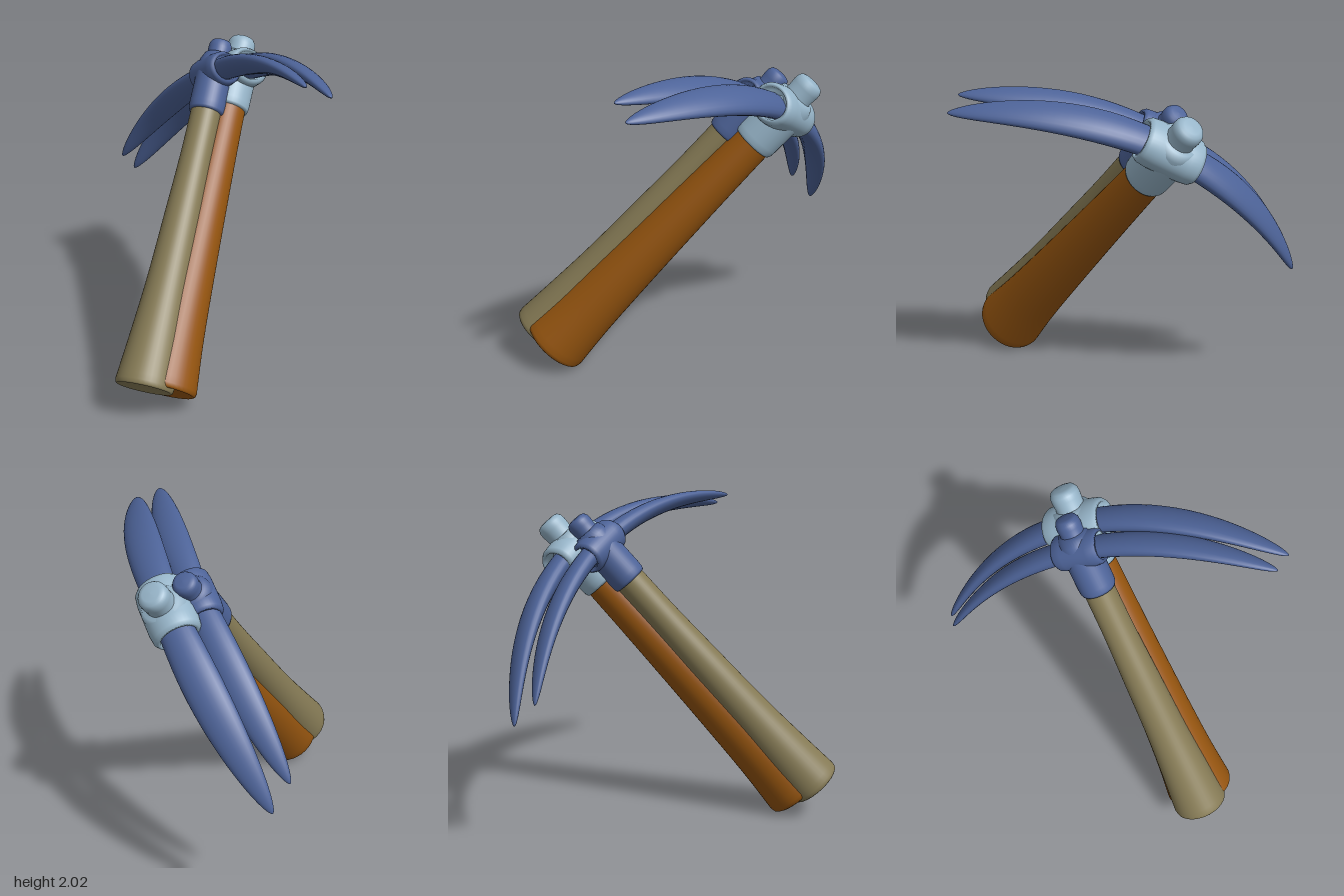
import * as THREE from 'three';

const paint = (name, color) => {
  const m = new THREE.MeshStandardMaterial({ color });
  m.name = name;
  return m;
};

// Smooth double-ended blade: elliptical sections swept along an arch
function bladeGeometry({ reach, apex, drop, width, thick }) {
  const along = 48, around = 24, pos = [], idx = [];
  for (let i = 0; i <= along; i++) {
    const t = reach * Math.sin((i / along - 0.5) * Math.PI);
    const q = Math.abs(t) / reach;
    const y = apex - drop * Math.pow(q, 2.1);
    const slope = -Math.sign(t) * drop * 2.1 * Math.pow(q, 1.1) / reach;
    const len = Math.hypot(1, slope);
    const round = Math.sqrt(Math.max(0, 1 - Math.pow(q, 24)));
    const hw = width * (0.8 + 0.9 * q) * (1 - 0.85 * q * q) * round;
    const ht = thick * (1 - 0.7 * q * q) * round;
    for (let k = 0; k < around; k++) {
      const a = k / around * Math.PI * 2, h = ht * Math.sin(a);
      pos.push(t - slope / len * h, y + h / len, hw * Math.cos(a));
    }
  }
  for (let i = 0; i < along; i++) for (let k = 0; k < around; k++) {
    const a = i * around + k, c = i * around + (k + 1) % around;
    idx.push(a, a + around, c, c, a + around, c + around);
  }
  const g = new THREE.BufferGeometry();
  g.setAttribute('position', new THREE.Float32BufferAttribute(pos, 3));
  g.setIndex(idx);
  g.computeVertexNormals();
  return g;
}

const lathe = (pts) => new THREE.LatheGeometry(pts.map(([r, y]) => new THREE.Vector2(r, y)), 40);

function pickaxe(o) {
  const g = new THREE.Group();
  g.name = o.name;
  const add = (name, geo, mat) => {
    const m = new THREE.Mesh(geo, mat);
    m.name = name;
    g.add(m);
    return m;
  };

  // flared handle with a shallow dished butt
  const curve = new THREE.SplineCurve(o.handle.map(([r, y]) => new THREE.Vector2(r, y)));
  const r0 = o.handle[0][0];
  add('handle', lathe([
    [0, 0.025], [r0 * 0.5, 0.02], [r0 * 0.85, 0.005], [r0 * 0.93, 0], [r0 * 0.98, 0.008],
    ...curve.getPoints(24).map((p) => [p.x, p.y]),
  ]), o.wood);

  // collar around the top of the handle
  const c = o.collar, s = o.collarStart, e = o.blade.apex;
  add('collar', lathe([
    [c * 0.8, s], [c * 0.95, s], [c, s + 0.015], [c * 1.02, s + 0.05], [c * 1.02, e - 0.05],
    [c * 1.05, e], [c * 0.98, e + 0.07], [c * 0.8, e + 0.115], [0, e + 0.125],
  ]), o.socket);

  // cross sleeve with recessed mouths for the blades
  const L = o.sleeve[0];
  const sleeve = add('sleeve', lathe([
    [0, -L * 0.75], [0.66, -L * 0.75], [0.72, -L], [0.84, -L], [0.95, -L * 0.88], [1, -L * 0.55],
    [1, L * 0.55], [0.95, L * 0.88], [0.84, L], [0.72, L], [0.66, L * 0.75], [0, L * 0.75],
  ]), o.socket);
  sleeve.rotation.z = -Math.PI / 2;
  sleeve.scale.set(o.sleeve[1], 1, o.sleeve[2]);
  sleeve.position.y = e;

  // rounded knob on top
  const k = o.knob, top = o.top;
  add('knob', lathe([
    [k * 1.05, e + 0.08], [k * 0.95, e + 0.13], [k, top - 0.06], [k * 0.97, top - 0.03],
    [k * 0.82, top - 0.008], [k * 0.55, top], [0, top + 0.002],
  ]), o.socket);

  add('blades', bladeGeometry(o.blade), o.steel);

  // local x runs along the blades, y up the handle
  const up = new THREE.Vector3(...o.axis).normalize();
  const x = new THREE.Vector3(0.824, 0.465, 0.322);
  x.addScaledVector(up, -x.dot(up)).normalize();
  const z = new THREE.Vector3().crossVectors(x, up);
  g.quaternion.setFromRotationMatrix(new THREE.Matrix4().makeBasis(x, up, z));
  g.position.set(...o.base);
  return g;
}

export function createModel() {
  const khaki = paint('khaki wood', 0x857a55);
  const orange = paint('orange wood', 0x94540f);
  const blue = paint('blue steel', 0x4d6398);
  const pale = paint('pale blue steel', 0x96b4c8);
  const model = new THREE.Group();
  model.name = 'crossedPickaxes';

  model.add(pickaxe({
    name: 'frontPickaxe', wood: khaki, socket: blue, steel: blue,
    base: [0.25, 0.2, 0.78], axis: [-0.175, 0.751, -0.636],
    handle: [[0.178, 0.03], [0.155, 0.3], [0.13, 0.65], [0.112, 1.1], [0.098, 1.5], [0.095, 1.9]],
    collar: 0.112, collarStart: 1.78, sleeve: [0.145, 0.11, 0.12], knob: 0.075, top: 2.28,
    blade: { reach: 1.1, apex: 2.06, drop: 0.37, width: 0.1, thick: 0.06 },
  }));
  model.add(pickaxe({
    name: 'backPickaxe', wood: orange, socket: pale, steel: blue,
    base: [0.29, 0.145, 0.67], axis: [-0.168, 0.74, -0.651],
    handle: [[0.22, 0.03], [0.19, 0.35], [0.163, 0.83], [0.137, 1.4], [0.122, 1.8], [0.12, 1.95]],
    collar: 0.138, collarStart: 1.85, sleeve: [0.18, 0.125, 0.15], knob: 0.09, top: 2.36,
    blade: { reach: 1.165, apex: 2.12, drop: 0.465, width: 0.115, thick: 0.065 },
  }));
  return model;
}
